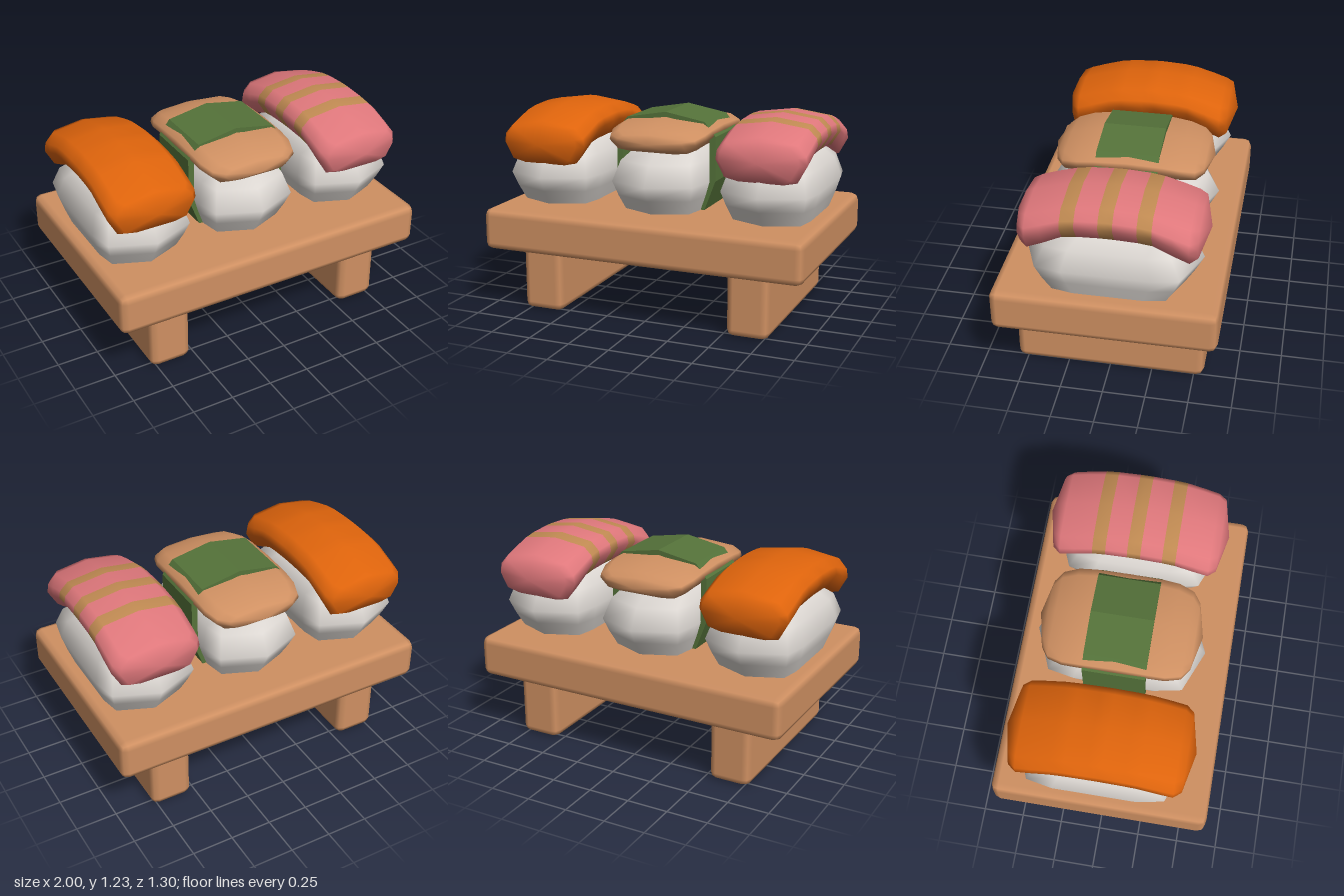
import * as THREE from 'three';
import { RoundedBoxGeometry } from 'three/addons/geometries/RoundedBoxGeometry.js';

const mat = (name, color) => {
  const m = new THREE.MeshStandardMaterial({ color });
  m.name = name;
  return m;
};

// Skin through rings of equal point count, closed by a pole at each end.
// pick(i) gives the material index of the strip after ring i.
function loft(rings, startPole, endPole, pick = () => 0) {
  const n = rings[0].length;
  const pos = [...rings.flat(), startPole, endPole].flat();
  const s = rings.length * n, e = s + 1;
  const last = (rings.length - 1) * n;
  const index = [];
  const g = new THREE.BufferGeometry();
  for (let j = 0; j < n; j++) index.push(s, (j + 1) % n, j);
  g.addGroup(0, n * 3, 0);
  for (let i = 0; i < rings.length - 1; i++) {
    g.addGroup(index.length, n * 6, pick(i));
    for (let j = 0; j < n; j++) {
      const k = (j + 1) % n;
      const a = i * n + j, b = i * n + k, c = b + n, d = a + n;
      index.push(a, b, c, a, c, d);
    }
  }
  g.addGroup(index.length, n * 3, 0);
  for (let j = 0; j < n; j++) index.push(last + j, last + (j + 1) % n, e);
  g.setAttribute('position', new THREE.Float32BufferAttribute(pos, 3));
  g.setIndex(index);
  g.computeVertexNormals();
  return g;
}

// Rice ball: an elongated plan outline scaled at several heights
function riceGeometry() {
  const quarter = [[0.285, 0], [0.285, 0.25], [0.255, 0.405]];
  const mirror = (p) => [-p[0], p[1]];
  const half = [...quarter, [0, 0.51], ...[...quarter].reverse().map(mirror)];
  const plan = [...half, ...half.slice(1, -1).map((p) => [-p[0], -p[1]])];
  const levels = [[0.6, 0.77], [0.63, 0.8], [0.72, 0.91], [0.81, 1], [0.93, 0.87], [1.0, 0.64]];
  const rings = levels.map(([y, k]) => plan.map(([x, z]) => [x * k, y, -z * k]));
  return loft(rings, [0, 0.6, 0], [0, 1.02, 0]);
}

// Topping slice: one rounded section bent along z.
// stations: [distance from middle, bottom, top, half width]
function sliceGeometry(stations, tip, pick) {
  const all = [...stations.slice(1).reverse().map(([u, ...r]) => [-u, ...r]), ...stations];
  const section = ([u, bot, top, w]) => {
    const h = top - bot;
    const right = [
      [0.5, 0], [0.8, 0.07], [1, 0.45], [0.97, 0.65], [0.78, 0.87],
    ].map(([x, y]) => [x * w, bot + y * h, u]);
    const left = right.map(([x, y, z]) => [-x, y, z]).reverse();
    return [[0, bot, u], ...right, [0, top, u], ...left];
  };
  return loft(all.map(section), [0, tip[1], -tip[0]], [0, tip[1], tip[0]],
    pick && ((i) => pick((all[i][0] + all[i + 1][0]) / 2)));
}

export function createModel() {
  const wood = mat('wood', 0xcf9062);
  const rice = mat('rice', 0xdcd7d2);
  const orange = mat('orange fish', 0xdf640c);
  const pink = mat('pink fish', 0xe0787c);
  const stripe = mat('stripe', 0xc08a52);
  const green = mat('seaweed', 0x55733a);

  const model = new THREE.Group();
  model.name = 'sushiBoard';
  const add = (name, geometry, material, x = 0, y = 0, z = 0, parent = model) => {
    const m = new THREE.Mesh(geometry, material);
    m.name = name;
    m.position.set(x, y, z);
    parent.add(m);
    return m;
  };

  // Serving board on two plank legs
  add('boardTop', new RoundedBoxGeometry(2, 0.255, 1.3, 1, 0.045), wood, 0, 0.5025, 0);
  for (const [name, x] of [['rightLeg', -0.657], ['leftLeg', 0.653]]) {
    add(name, new RoundedBoxGeometry(0.256, 0.45, 1.12, 1, 0.045), wood, x, 0.225, 0);
  }

  // Three pieces, each a rice ball with a topping
  const riceGeo = riceGeometry();
  const piece = (name, x) => {
    const g = new THREE.Group();
    g.name = name;
    g.position.set(x, 0, -0.02);
    model.add(g);
    add('rice', riceGeo, rice, 0, 0, 0, g);
    return g;
  };

  // Thick slices drooping over the ends
  const thick = [
    [0, 1.0, 1.23, 0.272], [0.04, 1.0, 1.229, 0.272], [0.17, 0.995, 1.221, 0.272],
    [0.25, 0.985, 1.208, 0.272], [0.36, 0.93, 1.18, 0.272],
    [0.45, 0.89, 1.152, 0.27], [0.495, 0.915, 1.135, 0.235],
  ];
  const tip = [0.545, 1.02];
  const rightPiece = piece('orangePiece', -0.687);
  add('orangeSlice', sliceGeometry(thick, tip), orange, 0, 0, 0, rightPiece);

  const leftPiece = piece('pinkPiece', 0.682);
  const isStripe = (u) => (Math.abs(u) < 0.04 || (Math.abs(u) > 0.17 && Math.abs(u) < 0.25) ? 1 : 0);
  add('stripedSlice', sliceGeometry(thick, tip, isStripe), [pink, stripe], 0, 0, 0, leftPiece);

  // Thin tan slice held by a seaweed band
  const middle = piece('wrappedPiece', -0.004);
  const thin = [
    [0, 1.015, 1.185, 0.31], [0.2, 1.012, 1.175, 0.31], [0.3, 1.005, 1.16, 0.305],
    [0.39, 1.0, 1.135, 0.275], [0.435, 1.02, 1.11, 0.21],
  ];
  add('tanSlice', sliceGeometry(thin, [0.48, 1.06]), wood, 0, 0, 0, middle);

  const outer = [[0.25, 0.625], [0.32, 0.81], [0.32, 1.08], [0.25, 1.165]];
  const inner = [[0.215, 0.625], [0.283, 0.81], [0.283, 1.07], [0.23, 1.14]];
  const arch = (side, top) => [
    ...side, [0, top], ...[...side].reverse().map(([x, y]) => [-x, y]),
  ];
  const outline = [...arch(outer, 1.21), ...arch(inner, 1.18).reverse()];
  const band = new THREE.ExtrudeGeometry(
    new THREE.Shape(outline.map(([x, y]) => new THREE.Vector2(x, y))),
    { depth: 0.37, bevelEnabled: false });
  add('seaweedBand', band, green, 0, 0, -0.18, middle);

  return model;
}
